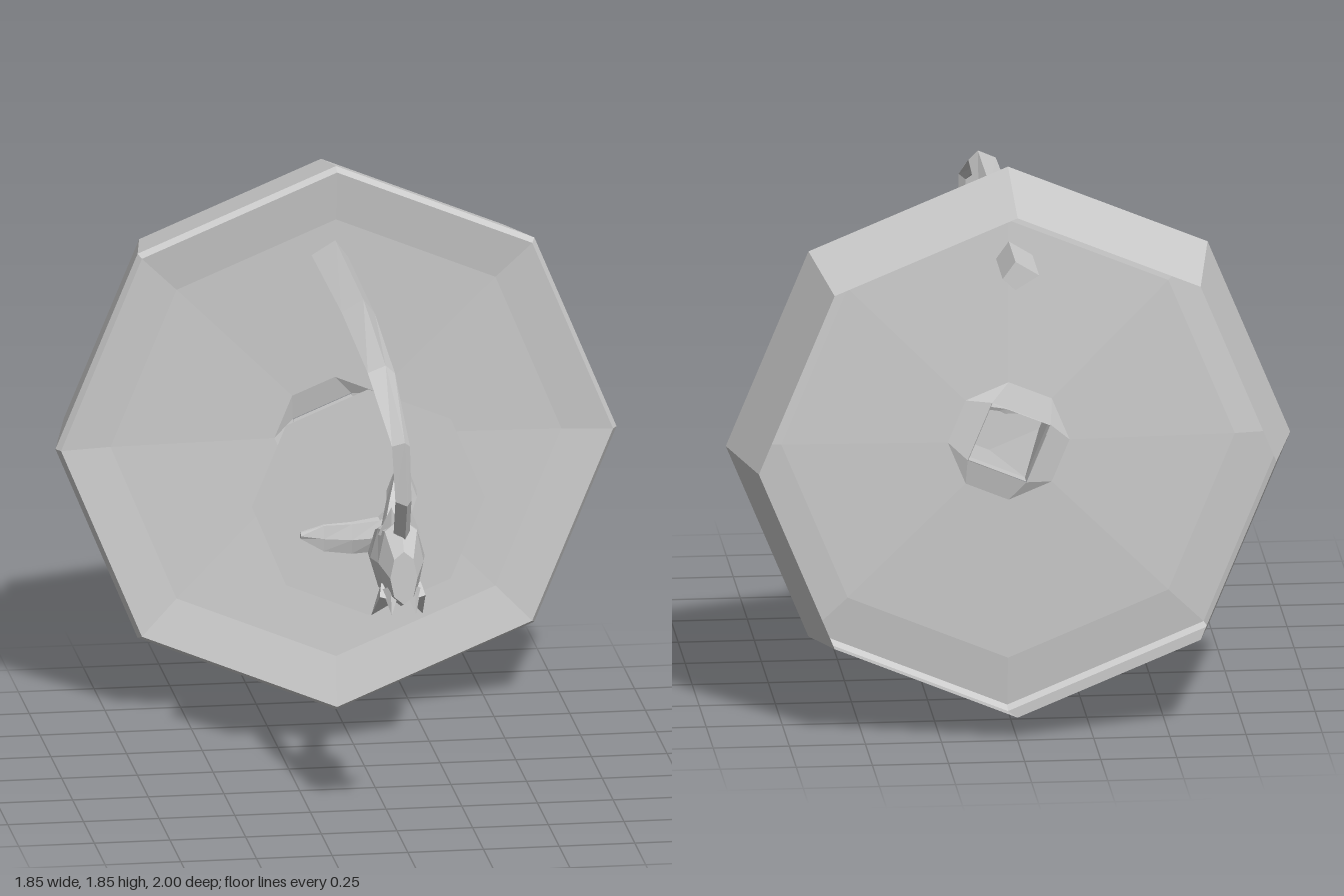
import * as THREE from 'three';

const CY = 0.928; // height of the main axis, which runs along z
const material = new THREE.MeshStandardMaterial({ color: 0xcccccc, flatShading: true, side: THREE.DoubleSide });

// Skin a list of closed loops (arrays of Vector3), optionally capping the ends
function loft(name, loops, capStart = false, capEnd = false) {
  const n = loops[0].length;
  const pos = [];
  const index = [];
  loops.forEach((l) => l.forEach((p) => pos.push(p.x, p.y, p.z)));
  for (let i = 0; i < loops.length - 1; i++) {
    for (let j = 0; j < n; j++) {
      const a = i * n + j, b = i * n + (j + 1) % n;
      index.push(a, b, b + n, a, b + n, a + n);
    }
  }
  const last = (loops.length - 1) * n;
  for (let j = 1; j < n - 1; j++) {
    if (capStart) index.push(0, j + 1, j);
    if (capEnd) index.push(last, last + j, last + j + 1);
  }
  const g = new THREE.BufferGeometry();
  g.setAttribute('position', new THREE.Float32BufferAttribute(pos, 3));
  g.setIndex(index);
  g.computeVertexNormals();
  const mesh = new THREE.Mesh(g, material);
  mesh.name = name;
  return mesh;
}

// Elliptical loop facing z
function ring(z, rx, ry = rx, cx = 0, cy = CY, n = 8) {
  return Array.from({ length: n }, (_, i) => {
    const a = (i / n) * Math.PI * 2;
    return new THREE.Vector3(cx + rx * Math.cos(a), cy + ry * Math.sin(a), z);
  });
}

// Eight points gathered in pairs onto a turned square
function squareRing(z, r) {
  return Array.from({ length: 8 }, (_, i) => {
    const a = (-22.5 + 90 * Math.floor((i + 1) / 2)) * Math.PI / 180;
    return new THREE.Vector3(r * Math.cos(a), CY + r * Math.sin(a), z);
  });
}

// Loft from rows of [z, cx, cy, rx, ry]
const body = (name, rows, n) =>
  loft(name, rows.map(([z, cx, cy, rx, ry]) => ring(z, rx, ry, cx, cy, n)), true, true);

export function createModel() {
  const model = new THREE.Group();
  model.name = 'model';

  // Octagonal dish, open at the back, with a hollow stem through its middle
  model.add(loft('dish', [
    ring(-1, 0.85), ring(-0.655, 0.927), ring(-0.63, 0.912),
    ring(-0.655, 0.745), ring(-0.68, 0.2), squareRing(-0.7, 0.148),
  ]));

  // Stem: square at the dish, octagonal at the flange
  model.add(loft('stem', [squareRing(-0.7, 0.145), squareRing(-0.63, 0.152), ring(0.02, 0.232)]));
  model.add(loft('flange', [ring(0.02, 0.232), ring(0.09, 0.385)], false, true));

  // Bent bar: rows of [centre x, y, z, half width, half thickness, tilt of the section]
  const bar = [
    [-0.02, 1.553, -0.9, 0.06, 0.048, 0],
    [-0.02, 1.553, -0.63, 0.06, 0.048, 0],
    [-0.02, 1.551, 0, 0.055, 0.043, 0],
    [-0.03, 1.522, 0.6, 0.045, 0.025, 0.2],
    [-0.015, 1.373, 0.95, 0.03, 0.03, 0.95],
    [-0.01, 1.19, 0.972, 0.027, 0.028, 1.9],
    [0, 1.05, 0.86, 0.027, 0.028, 2.2],
  ];
  model.add(loft('bar', bar.map(([x, y, z, w, t, tilt]) => {
    const dy = t * Math.cos(tilt), dz = t * Math.sin(tilt);
    return [
      new THREE.Vector3(x + w, y - dy * 0.2, z - dz * 0.2),
      new THREE.Vector3(x + w * 0.3, y + dy, z + dz),
      new THREE.Vector3(x - w, y, z),
      new THREE.Vector3(x + w * 0.3, y - dy, z - dz),
    ];
  }), true, true));

  // Curving neck out of the flange
  model.add(body('neck', [
    [0.085, 0.11, 0.965, 0.05, 0.075],
    [0.13, 0.105, 0.95, 0.05, 0.08],
    [0.21, 0.075, 0.905, 0.045, 0.07],
    [0.32, 0.045, 0.885, 0.04, 0.053],
    [0.46, 0.02, 0.883, 0.035, 0.05],
    [0.6, 0.01, 0.92, 0.04, 0.05],
  ], 6));

  // Faceted head
  model.add(body('head', [
    [0.57, 0.01, 0.915, 0.03, 0.035],
    [0.65, 0, 0.925, 0.082, 0.11],
    [0.76, 0, 0.94, 0.09, 0.14],
    [0.84, 0, 0.945, 0.075, 0.15],
    [0.91, 0, 0.91, 0.045, 0.09],
  ], 8));

  // Mirrored spikes: swept back below and short knobs above
  const spike = (name, base, tip, r) => {
    const a = new THREE.Vector3(...base), b = new THREE.Vector3(...tip);
    const dir = b.clone().sub(a);
    const m = new THREE.Mesh(new THREE.ConeGeometry(r, dir.length(), 4), material);
    m.name = name;
    m.position.copy(a).add(b).multiplyScalar(0.5);
    m.quaternion.setFromUnitVectors(new THREE.Vector3(0, 1, 0), dir.normalize());
    model.add(m);
  };
  for (const s of [-1, 1]) {
    spike('lowerSpike', [s * 0.045, 0.85, 0.86], [s * 0.085, 0.74, 0.75], 0.038);
    spike('frontSpike', [s * 0.035, 0.86, 0.86], [s * 0.04, 0.785, 0.91], 0.03);
    spike('upperKnob', [s * 0.03, 1.03, 0.8], [s * 0.03, 1.13, 0.83], 0.04);
  }

  // Flattened tail lying on the flange: rows of [x, y, half height, z depth]
  const tail = [
    [-0.225, 0.825, 0.012, 0.02],
    [-0.15, 0.815, 0.05, 0.03],
    [-0.06, 0.815, 0.058, 0.055],
    [0.03, 0.83, 0.06, 0.09],
    [0.1, 0.9, 0.06, 0.09],
  ];
  model.add(loft('tail', tail.map(([x, y, h, d]) => Array.from({ length: 6 }, (_, i) => {
    const a = (i / 6) * Math.PI * 2;
    return new THREE.Vector3(x, y + h * Math.sin(a), 0.085 + d * (0.5 + 0.5 * Math.cos(a)));
  })), true, true));

  return model;
}
